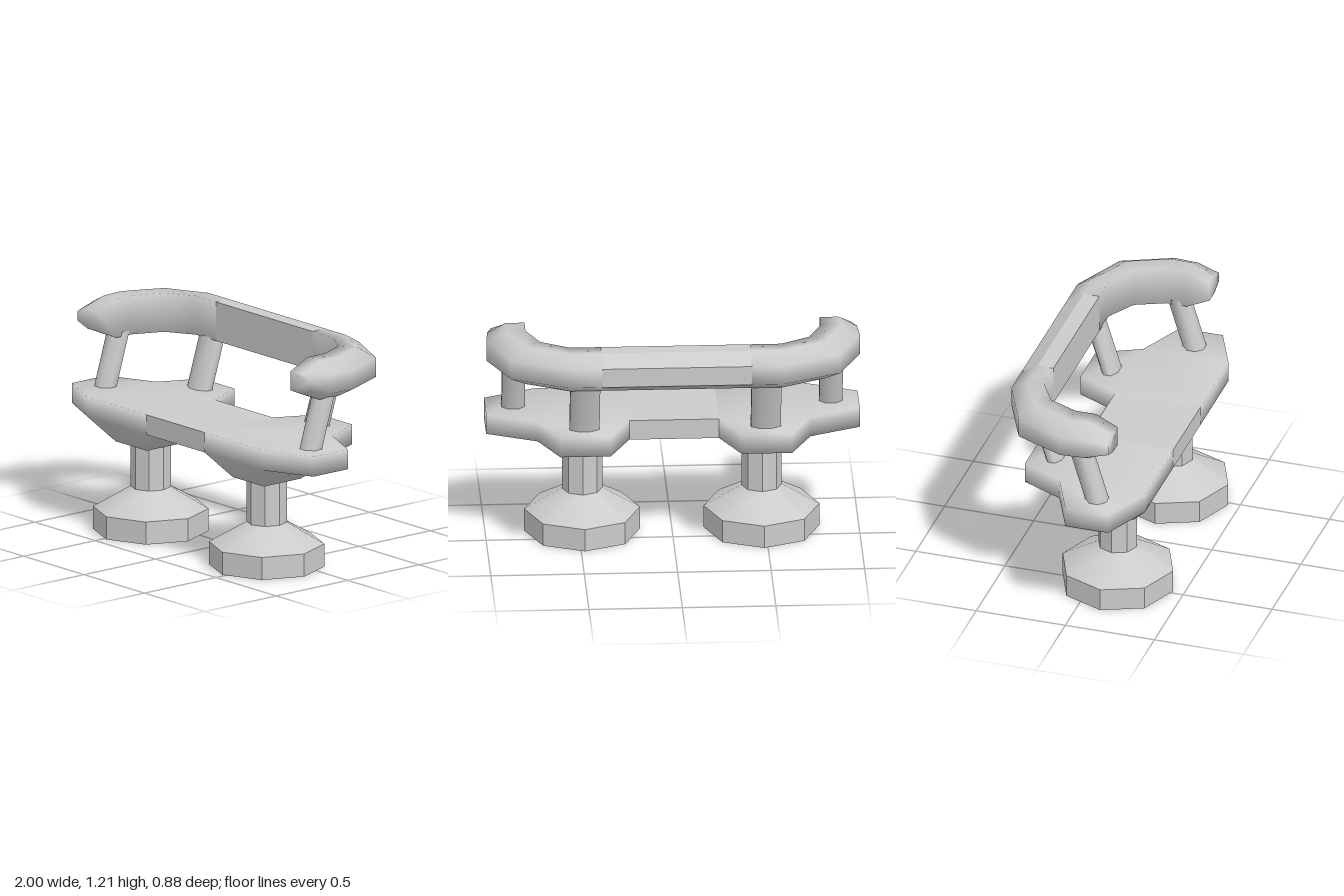
import * as THREE from 'three';

const smooth = new THREE.MeshStandardMaterial({ color: 0xcccccc });
const flat = new THREE.MeshStandardMaterial({ color: 0xcccccc, flatShading: true });

function addMesh(parent, name, geometry, material, x = 0, y = 0, z = 0) {
  const mesh = new THREE.Mesh(geometry, material);
  mesh.name = name;
  mesh.position.set(x, y, z);
  parent.add(mesh);
  return mesh;
}

// Polygons over shared points; side -1 mirrors in x and reverses the faces
function polyGeometry(points, faces, side = 1) {
  const index = [];
  for (const face of faces) {
    const f = side < 0 ? [...face].reverse() : face;
    for (let i = 1; i < f.length - 1; i++) index.push(f[0], f[i], f[i + 1]);
  }
  const g = new THREE.BufferGeometry();
  g.setAttribute('position', new THREE.Float32BufferAttribute(
    points.flatMap(([x, y, z]) => [x * side, y, z]), 3));
  g.setIndex(index);
  g.computeVertexNormals();
  return g;
}

// Seat wing: square block, tapered lobes to the side and rear, flare to the column
function wingGeometry(side) {
  const outline = [[0.24, 0.36], [0.73, 0.36], [1, 0.24], [1, 0],
    [0.73, -0.12], [0.62, -0.35], [0.35, -0.35], [0.24, -0.12]];
  const neck = [[0.355, 0.26], [0.615, 0.26], [0.615, 0], [0.355, 0]];
  const at = (y) => ([x, z]) => [x, y, z];
  const points = [...outline.map(at(0.725)), ...outline.map(at(0.615)), ...neck.map(at(0.485))];
  const faces = [[0, 1, 4, 7], [1, 2, 3, 4], [4, 5, 6, 7],
    [12, 11, 10, 9], [15, 14, 13, 12], [19, 18, 17, 16]];
  for (let i = 0; i < 7; i++) faces.push([8 + i, 9 + i, i + 1, i]);
  const square = [8, 9, 12, 15];
  for (let i = 0; i < 4; i++) {
    const j = (i + 1) % 4;
    faces.push([16 + i, 16 + j, square[j], square[i]]);
  }
  return polyGeometry(points, faces, side);
}

// Rail: six-sided section lofted through stations [outer xz, inner xz, height scale]
function railGeometry(stations, side, capped) {
  const section = [[0, 0.0525], [0.5, 0.1075], [1, 0.1075],
    [1, -0.1075], [0.5, -0.1075], [0, -0.0525]];
  const points = [], faces = [];
  stations.forEach(([o, n, scale], s) => {
    for (const [t, h] of section) {
      points.push([o[0] + (n[0] - o[0]) * t, 1.1025 + h * scale, o[1] + (n[1] - o[1]) * t]);
    }
    if (s === 0) return;
    for (let k = 0; k < 6; k++) {
      const j = (k + 1) % 6, a = 6 * (s - 1), b = 6 * s;
      faces.push([a + k, a + j, b + j, b + k]);
    }
  });
  if (capped) faces.push([0, 1, 2, 3, 4, 5].map((k) => points.length - 6 + k));
  return polyGeometry(points, faces, side);
}

// Leaning eight-sided post between the seat and the rail
function postGeometry(halfWidth, halfDepth, lean) {
  const h = 0.32;
  const g = new THREE.CylinderGeometry(1, 1, h, 8, 1, true);
  g.rotateY(Math.PI / 8);
  const r = Math.cos(Math.PI / 8);
  g.scale(halfWidth / r, 1, halfDepth / r);
  const p = g.attributes.position;
  for (let i = 0; i < p.count; i++) p.setZ(i, p.getZ(i) - lean * p.getY(i) / h);
  g.computeVertexNormals();
  // Close the shading seam of the tube
  const n = g.attributes.normal;
  for (const row of [0, 9]) {
    const v = new THREE.Vector3().fromBufferAttribute(n, row)
      .add(new THREE.Vector3().fromBufferAttribute(n, row + 8)).normalize();
    n.setXYZ(row, v.x, v.y, v.z);
    n.setXYZ(row + 8, v.x, v.y, v.z);
  }
  return g;
}

export function createModel() {
  const model = new THREE.Group();
  model.name = 'bench';

  // Middle of the seat and of the back rail
  addMesh(model, 'seatBridge', new THREE.BoxGeometry(0.48, 0.11, 0.48), flat, 0, 0.67, 0.12);
  addMesh(model, 'backRail', railGeometry([
    [[-0.4, -0.44], [-0.4, -0.26], 1],
    [[0.4, -0.44], [0.4, -0.26], 1],
  ], 1, false), flat);

  const armStations = [
    [[0.4, -0.44], [0.4, -0.26], 1],
    [[0.575, -0.44], [0.565, -0.26], 1],
    [[0.88, -0.3], [0.72, -0.17], 1],
    [[1, -0.03], [0.79, -0.01], 1],
    [[0.99, 0.105], [0.79, 0.105], 1],
    [[0.965, 0.23], [0.8, 0.23], 0.5],
  ];

  for (const side of [1, -1]) {
    const half = new THREE.Group();
    half.name = side > 0 ? 'leftHalf' : 'rightHalf';
    model.add(half);

    // Pedestal
    const px = 0.48 * side, pz = 0.128;
    addMesh(half, 'foot', new THREE.CylinderGeometry(0.31, 0.31, 0.125, 8), flat, px, 0.0625, pz);
    addMesh(half, 'footCone', new THREE.CylinderGeometry(0.108, 0.31, 0.117, 8, 1, true),
      smooth, px, 0.1835, pz);
    addMesh(half, 'column', new THREE.CylinderGeometry(0.108, 0.108, 0.25, 8), flat, px, 0.365, pz);

    // Seat wing, curved arm and the two posts
    addMesh(half, 'seatWing', wingGeometry(side), smooth);
    addMesh(half, 'armRail', railGeometry(armStations, side, true), smooth);
    addMesh(half, 'backPost', postGeometry(0.08, 0.047, 0.1), smooth, 0.485 * side, 0.86, -0.262);
    addMesh(half, 'armPost', postGeometry(0.062, 0.058, 0.098), smooth, 0.85 * side, 0.86, 0.089);
  }
  return model;
}
